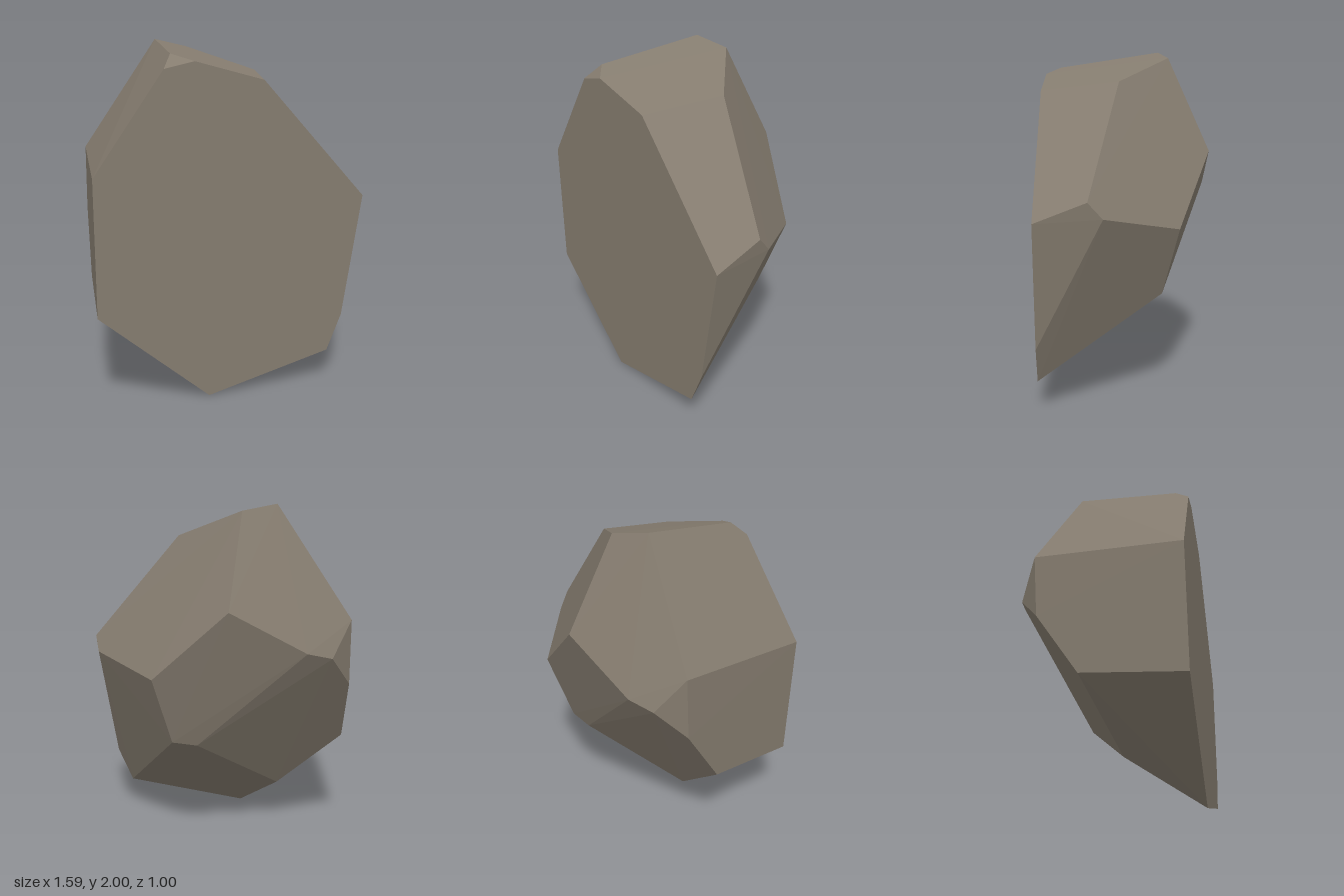
import * as THREE from 'three';
import { ConvexGeometry } from 'three/addons/geometries/ConvexGeometry.js';

// A faceted boulder with one cleaved, nearly vertical front face.
export function createModel() {
  const stone = new THREE.MeshStandardMaterial({ color: 0x857c6f });

  // outline of the cleaved front (x, y), leaning back very slightly
  const front = [
    [-0.8, 1.27], [-0.79, 0.52], [-0.16, 0], [0.58, 0.18], [0.67, 0.39],
    [0.79, 1.1], [0.16, 1.77], [-0.24, 1.87], [-0.41, 1.83],
  ].map(([x, y]) => new THREE.Vector3(x, y, 0.5 - 0.004 * y));

  // corners of the chipped top, back and underside
  const body = [
    [-0.35, 1.91, 0.41], [-0.26, 2, -0.2], [-0.05, 1.96, -0.25], [0.285, 1.82, 0.045], // crown
    [0.79, 1.21, 0.21], [0.775, 1.12, 0.13], [0.475, 1.015, -0.29],                    // right flank
    [0.06, 1.415, -0.49], [-0.38, 1.18, -0.5], [-0.53, 1.145, -0.47],                  // back
    [-0.665, 1.35, -0.365], [-0.668, 0.974, -0.338], [-0.7, 0.6, -0.09],               // left flank
    [0.355, 0.62, -0.2], [0.21, 0.6, -0.215], [-0.33, 0.255, 0.08],                    // underside
  ].map((p) => new THREE.Vector3(...p));

  const boulder = new THREE.Mesh(new ConvexGeometry([...front, ...body]), stone);
  boulder.name = 'boulder';

  const group = new THREE.Group();
  group.name = 'rock';
  group.add(boulder);
  return group;
}
